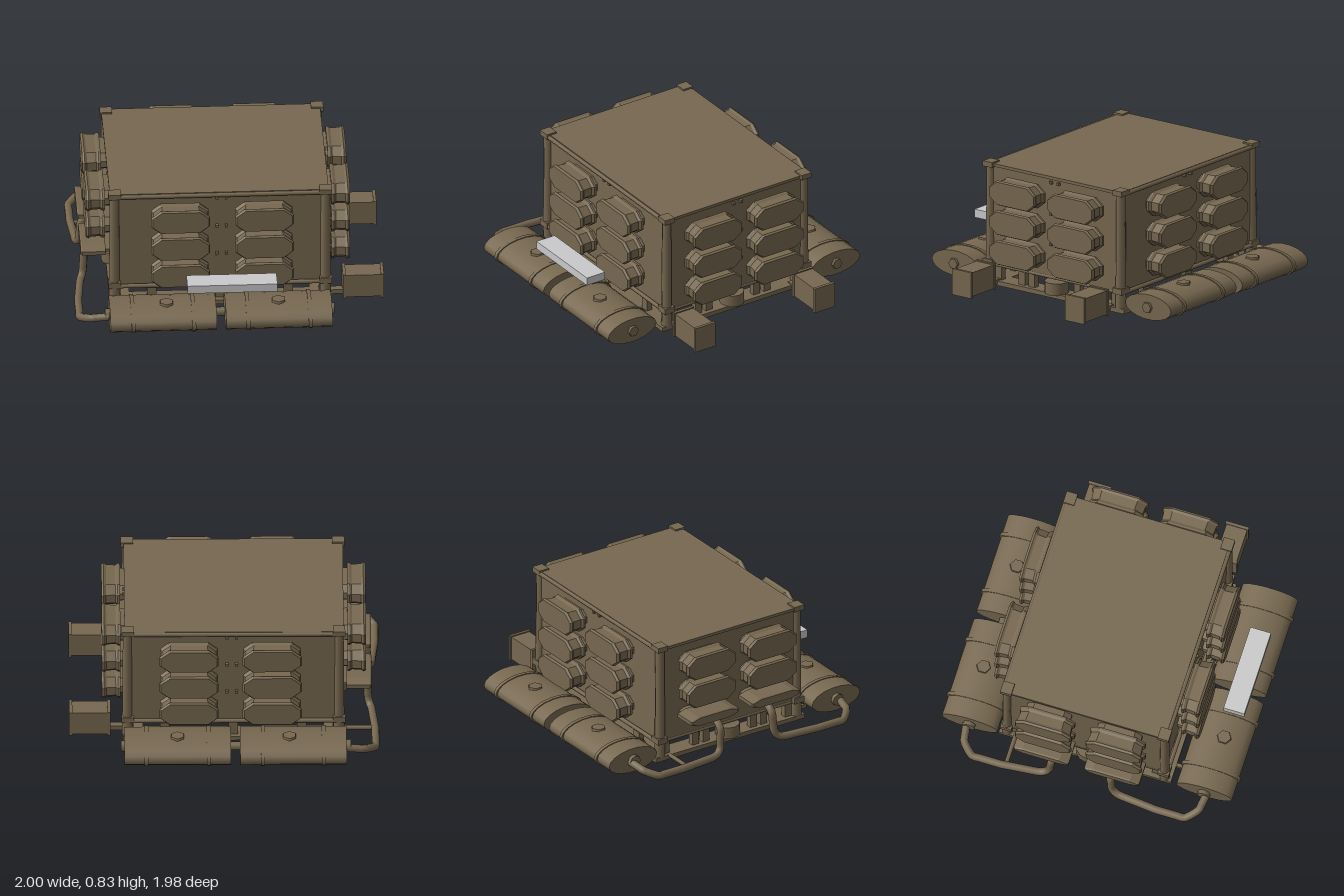
import * as THREE from 'three';

const brown = new THREE.MeshStandardMaterial({ color: 0x776850, side: THREE.DoubleSide });
brown.name = 'weathered brown';
const grey = new THREE.MeshStandardMaterial({ color: 0xcacacc });
grey.name = 'light grey';

// Body bounds
const X0 = -0.77, X1 = 0.64, Z0 = -0.57, Z1 = 0.52;
const CX = (X0 + X1) / 2, CZ = (Z0 + Z1) / 2;

function add(parent, name, geo, x = 0, y = 0, z = 0, mat = brown) {
  const m = new THREE.Mesh(geo, mat);
  m.name = name;
  m.position.set(x, y, z);
  parent.add(m);
  return m;
}
const box = (p, name, w, h, d, x, y, z, mat) => add(p, name, new THREE.BoxGeometry(w, h, d), x, y, z, mat);
const cylX = (r, len, n) => new THREE.CylinderGeometry(r, r, len, n).rotateZ(Math.PI / 2);

// Faceted pod: octagonal sections [depth, width, height] joined along +z
function podGeometry(sections) {
  const rings = sections.map(([d, w, h]) => {
    const a = w / 2, b = h / 2, c = w * 0.16, e = h * 0.3;
    return [[a, -b + e], [a, b - e], [a - c, b], [c - a, b], [-a, b - e], [-a, e - b], [c - a, -b], [a - c, -b]]
      .map(([x, y]) => [x, y, d]);
  });
  const v = [];
  const tri = (...p) => p.forEach((q) => v.push(...q));
  for (let r = 0; r < rings.length - 1; r++) {
    for (let i = 0; i < 8; i++) {
      const j = (i + 1) % 8, A = rings[r], B = rings[r + 1];
      tri(A[i], A[j], B[j]);
      tri(A[i], B[j], B[i]);
    }
  }
  const first = rings[0], last = rings[rings.length - 1];
  for (let i = 1; i < 7; i++) {
    tri(last[0], last[i], last[i + 1]);
    tri(first[0], first[i + 1], first[i]);
  }
  const g = new THREE.BufferGeometry();
  g.setAttribute('position', new THREE.Float32BufferAttribute(v, 3));
  g.computeVertexNormals();
  return g;
}

export function createModel() {
  const model = new THREE.Group();
  model.name = 'armouredModule';

  // Hollow body, open underneath
  const body = new THREE.Group();
  body.name = 'body';
  model.add(body);
  const W = X1 - X0, D = Z1 - Z0;
  box(body, 'roof', W, 0.02, D, CX, 0.815, CZ);
  for (const z of [Z0 + 0.02, Z1 - 0.02]) box(body, 'longWall', W - 0.04, 0.68, 0.02, CX, 0.475, z);
  for (const x of [X0 + 0.03, X1 - 0.02]) box(body, 'endWall', 0.02, 0.68, D - 0.04, x, 0.475, CZ);

  // Corner posts with caps, and trim rails between them
  for (const x of [X0 + 0.03, X1 - 0.02]) {
    for (const z of [Z0 + 0.02, Z1 - 0.01]) {
      add(body, 'cornerPost', new THREE.CylinderGeometry(0.03, 0.035, 0.78, 8), x, 0.42, z);
      box(body, 'cornerCap', 0.08, 0.035, 0.075, x, 0.818, z);
      box(body, 'cornerFoot', 0.08, 0.04, 0.075, x, 0.16, z);
    }
    add(body, 'endTrim', new THREE.CylinderGeometry(0.014, 0.014, D, 6).rotateX(Math.PI / 2), x, 0.145, CZ);
  }
  for (const z of [Z0 - 0.005, Z1 + 0.01]) {
    for (const y of [0.15, 0.81]) add(body, 'longTrim', cylX(0.014, W, 6), CX, y, z);
  }

  // Bolts on the walls between the pods
  for (const y of [0.37, 0.575, 0.785]) {
    for (const o of [-0.03, 0.03]) {
      box(body, 'bolt', 0.02, 0.018, 0.018, X1, y, CZ + o);
      box(body, 'bolt', 0.018, 0.018, 0.02, -0.05 + o, y, Z1);
      box(body, 'bolt', 0.018, 0.018, 0.02, -0.05 + o, y, Z0);
    }
  }

  // Pods: three rows of two on each wall
  const pods = new THREE.Group();
  pods.name = 'sidePods';
  model.add(pods);
  const podGeo = podGeometry([
    [-0.045, 0.29, 0.11], [0.025, 0.3, 0.115], [0.025, 0.37, 0.16], [0.04, 0.37, 0.16],
    [0.055, 0.345, 0.145], [0.115, 0.355, 0.15], [0.13, 0.38, 0.165], [0.145, 0.36, 0.15]]);
  const flatPodGeo = podGeometry([
    [-0.045, 0.29, 0.05], [0.02, 0.3, 0.05], [0.02, 0.37, 0.065], [0.17, 0.37, 0.065], [0.18, 0.35, 0.055]]);
  const walls = [
    { turn: 0, at: (o) => [o, Z1], cols: [-0.32, 0.22] },
    { turn: Math.PI, at: (o) => [o, Z0], cols: [-0.31, 0.225] },
    { turn: Math.PI / 2, at: (o) => [X1, o], cols: [-0.26, 0.215] },
    { turn: -Math.PI / 2, at: (o) => [X0, o], cols: [-0.26, 0.215] }];
  walls.forEach(({ turn, at, cols }, wall) => {
    for (const c of cols) {
      [0.285, 0.485, 0.685].forEach((y, row) => {
        const flat = wall === 3 && row === 0;
        const [x, z] = at(c);
        add(pods, 'pod', flat ? flatPodGeo : podGeo, x, flat ? 0.322 : y, z).rotation.y = turn;
      });
    }
  });

  // Base frame with a large opening
  const rect = (P, x0, x1, z0, z1) => {
    const s = new P();
    s.moveTo(x0, -z1); s.lineTo(x1, -z1); s.lineTo(x1, -z0); s.lineTo(x0, -z0); s.closePath();
    return s;
  };
  const frame = rect(THREE.Shape, X0, X1 + 0.01, Z0 - 0.03, Z1 + 0.04);
  frame.holes.push(rect(THREE.Path, X0 + 0.13, X1 - 0.12, Z0 + 0.1, Z1 - 0.1));
  const base = new THREE.Group();
  base.name = 'base';
  model.add(base);
  add(base, 'baseFrame', new THREE.ExtrudeGeometry(frame, { depth: 0.03, bevelEnabled: false }).rotateX(-Math.PI / 2), 0, 0.015, 0);
  // Struts and mounts between frame and body
  for (const x of [X0 + 0.05, X1 - 0.04]) {
    for (const z of [-0.5, -0.27, -0.19, 0.18, 0.26, 0.45]) box(base, 'strut', 0.04, 0.1, 0.05, x, 0.09, z);
    add(base, 'mountDrum', new THREE.CylinderGeometry(0.08, 0.08, 0.08, 12), x, 0.08, -0.01);
  }
  for (const z of [Z0 + 0.02, Z1 - 0.02]) {
    for (const x of [-0.5, -0.06, 0.38]) box(base, 'strut', 0.06, 0.1, 0.04, x, 0.09, z);
  }

  // Flattened tanks along front and back
  for (const side of [-1, 1]) {
    const z = side * 0.79;
    const tanks = new THREE.Group();
    tanks.name = side > 0 ? 'frontTanks' : 'backTanks';
    tanks.position.set(0, 0.097, z);
    model.add(tanks);
    const oval = (name, r, len, x) => add(tanks, name, cylX(1, len, 18), x).scale.set(1, r * 0.45, r);
    for (const [x, straps, cap] of [[-0.445, [-0.64, -0.25], -0.42], [0.3, [0.1, 0.5], 0.3]]) {
      oval('tank', 0.187, 0.685, x);
      for (const s of straps) {
        oval('strap', 0.198, 0.025, s);
        box(tanks, 'strapBracket', 0.025, 0.025, 0.12, s, -0.07, -side * 0.2);
      }
      add(tanks, 'fillerCap', new THREE.CylinderGeometry(0.045, 0.05, 0.02, 6), x < 0 ? -0.42 : cap, 0.084, side * 0.02);
    }
    add(tanks, 'coupling', cylX(0.03, 0.08, 8), -0.07);
    add(tanks, 'endCap', cylX(0.036, 0.025, 6), 0.65);
    add(tanks, 'pipeFlange', cylX(0.04, 0.03, 8), -0.8);

    // Pipe from the tank, round the side and up into the body
    const path = new THREE.CurvePath();
    const pts = [[-0.79, 0.09, 0.81], [-0.91, 0.07, 0.79], [-0.975, 0.04, 0.72], [-0.975, 0.04, 0.52],
      [-0.95, 0.04, 0.26], [-0.93, 0.07, 0.21], [-0.92, 0.21, 0.2], [-0.88, 0.255, 0.2], [-0.75, 0.255, 0.2]]
      .map(([x, y, pz]) => new THREE.Vector3(x, y, pz * side));
    for (let i = 0; i < pts.length - 1; i++) path.add(new THREE.LineCurve3(pts[i], pts[i + 1]));
    const curve = new THREE.CatmullRomCurve3(path.getSpacedPoints(28));
    add(model, 'sidePipe', new THREE.TubeGeometry(curve, 48, 0.026, 8));
    if (side < 0) add(model, 'pipeStay', cylX(0.014, 0.22, 6), -0.86, 0.04, -0.49);

    // Equipment box on an arm at the right end
    const bz = side > 0 ? 0.46 : -0.465;
    const gear = new THREE.Group();
    gear.name = 'equipmentBox';
    model.add(gear);
    box(gear, 'boxBody', 0.25, 0.16, 0.14, 0.86, 0.105, bz);
    box(gear, 'boxLid', 0.02, 0.175, 0.155, 0.985, 0.105, bz);
    box(gear, 'boxRim', 0.02, 0.175, 0.15, 0.74, 0.105, bz);
    box(gear, 'boxArm', 0.14, 0.03, 0.05, 0.68, 0.04, bz);
  }

  // Pale bar floating above the front tanks
  box(model, 'paleBar', 0.58, 0.055, 0.14, 0, 0.327, 0.835, grey);

  return model;
}
